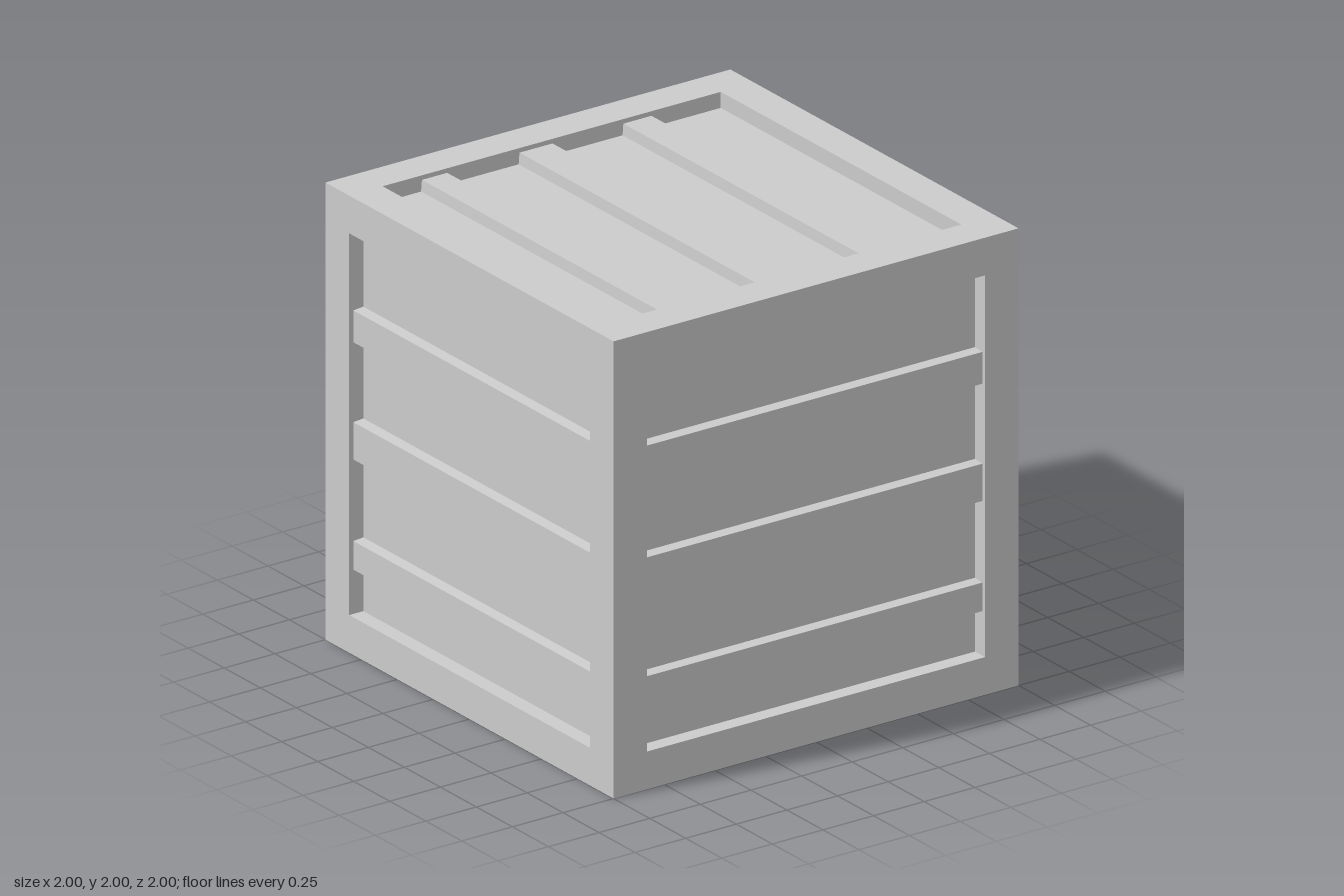
import * as THREE from 'three';

const HALF = 1;            // half the crate's side
const BEAM = 0.165;        // frame width
const OPEN = HALF - BEAM;  // half the opening in each face
const PANEL = 0.93;        // distance of the panels from the centre
const SLAT = 0.98;         // distance of the slat fronts from the centre
const TAPER = 0.004;       // slat sides lean in slightly

// Lower and upper edge of the three slats, across the face
const SLATS = [[0.35, 0.497], [-0.163, 0.008], [-0.645, -0.512]];

// Outward normal and the across-slat direction of each face
const FACES = [
  ['front', [0, 0, 1], [0, 1, 0]],
  ['back', [0, 0, -1], [0, 1, 0]],
  ['left', [1, 0, 0], [0, -1, 0]],
  ['right', [-1, 0, 0], [0, 1, 0]],
  ['top', [0, 1, 0], [1, 0, 0]],
  ['bottom', [0, -1, 0], [-1, 0, 0]],
];

export function createModel() {
  const model = new THREE.Group();
  model.name = 'crate';
  const material = new THREE.MeshStandardMaterial({ color: 0xcccccc, flatShading: true });

  const add = (parent, name, geometry, x = 0, y = 0, z = 0) => {
    const mesh = new THREE.Mesh(geometry, material);
    mesh.name = name;
    mesh.position.set(x, y, z);
    parent.add(mesh);
    return mesh;
  };

  const body = new THREE.Group();
  body.name = 'body';
  body.position.y = HALF;
  model.add(body);

  // Frame: four full-height posts, with rails fitted between them
  const mid = HALF - BEAM / 2;
  const post = new THREE.BoxGeometry(BEAM, 2 * HALF, BEAM);
  const railX = new THREE.BoxGeometry(2 * OPEN, BEAM, BEAM);
  const railZ = new THREE.BoxGeometry(BEAM, BEAM, 2 * OPEN);
  for (const a of [-mid, mid]) {
    for (const b of [-mid, mid]) {
      add(body, 'cornerPost', post, a, 0, b);
      add(body, 'crossRail', railX, 0, a, b);
      add(body, 'sideRail', railZ, a, b, 0);
    }
  }

  // Recessed panel and three raised slats on every face
  for (const [name, normal, across] of FACES) {
    const face = new THREE.Group();
    face.name = name + 'Face';
    const z = new THREE.Vector3(...normal);
    const y = new THREE.Vector3(...across);
    const x = new THREE.Vector3().crossVectors(y, z);
    face.setRotationFromMatrix(new THREE.Matrix4().makeBasis(x, y, z));
    body.add(face);

    add(face, 'panel', new THREE.PlaneGeometry(2 * OPEN, 2 * OPEN), 0, 0, PANEL);
    for (const [low, high] of SLATS) add(face, 'slat', slatGeometry(low, high));
  }
  return model;
}

// Trapezoid bar along x, between two heights, from the panel outwards
function slatGeometry(low, high) {
  const depth = SLAT - PANEL;
  const geometry = new THREE.BoxGeometry(2 * OPEN, high - low, depth);
  const p = geometry.attributes.position;
  for (let i = 0; i < p.count; i++) {
    if (p.getZ(i) > 0) p.setY(i, p.getY(i) - Math.sign(p.getY(i)) * TAPER);
  }
  geometry.translate(0, (low + high) / 2, (SLAT + PANEL) / 2);
  geometry.computeVertexNormals();
  return geometry;
}
